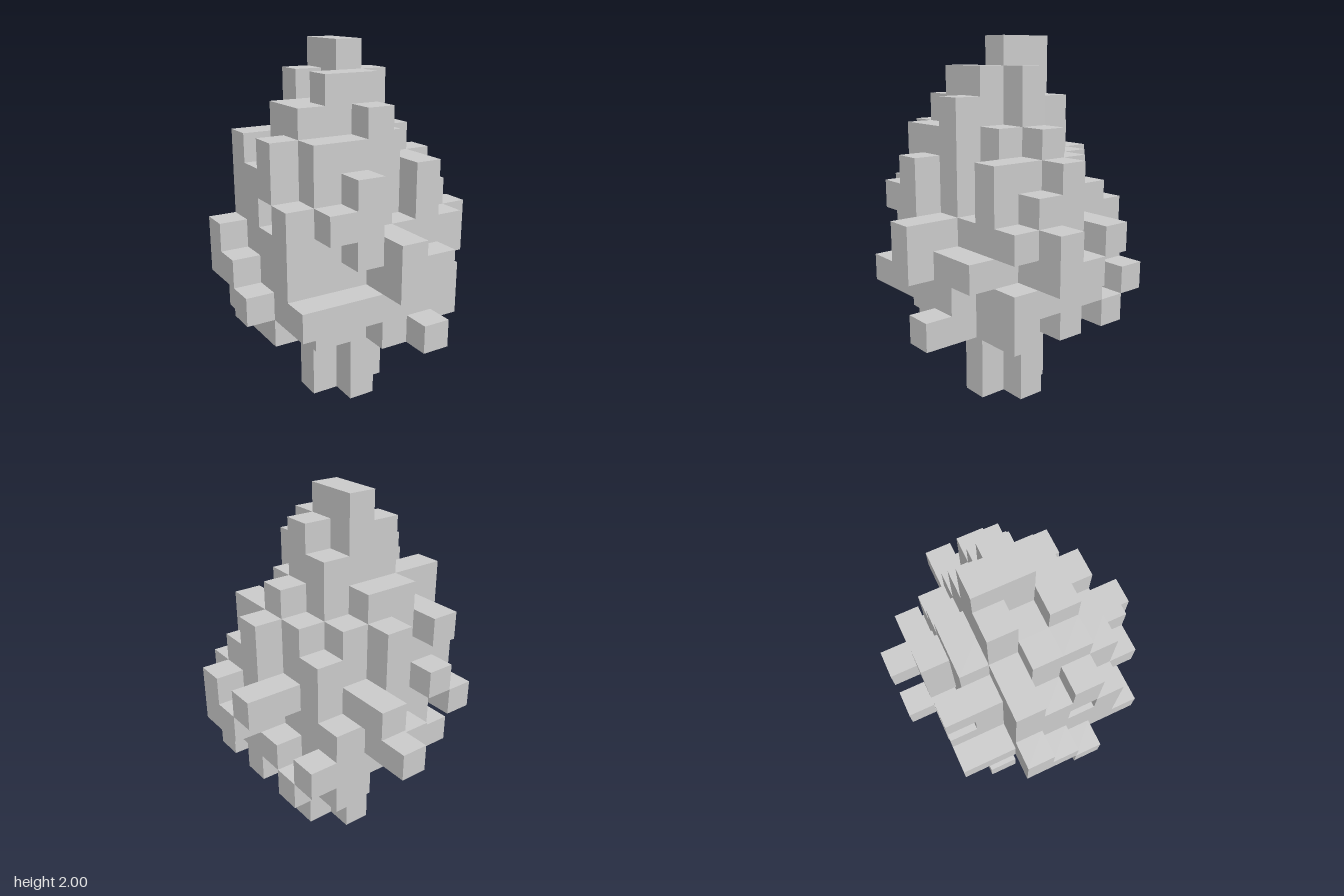
import * as THREE from 'three';

const CELL = 2 / 13; // 13 blocks tall

const key = (x, y, z) => `${x},${y},${z}`;

// Collects blocks; ranges are inclusive, in whole blocks
function blockSet() {
  const cells = new Map();
  const fill = (x0, x1, y0, y1, z0, z1) => {
    for (let x = x0; x <= x1; x++)
      for (let y = y0; y <= y1; y++)
        for (let z = z0; z <= z1; z++) cells.set(key(x, y, z), [x, y, z]);
  };
  const cut = (x, y, z) => cells.delete(key(x, y, z));
  return { cells, fill, cut };
}

// Emits only the exposed faces of a set of blocks
function skin(cells, solid) {
  const pos = [];
  for (const c of cells.values()) {
    for (let d = 0; d < 3; d++) {
      for (const s of [-1, 1]) {
        const n = [...c];
        n[d] += s;
        if (solid(n)) continue;
        const u = (d + 1) % 3, v = (d + 2) % 3;
        const corner = (a, b) => {
          const p = [c[0], c[1] + 0.5, c[2]];
          p[d] += s / 2;
          p[u] += (a * s) / 2;
          p[v] += b / 2;
          return p.map((k) => k * CELL);
        };
        const q = [corner(-1, -1), corner(1, -1), corner(1, 1), corner(-1, 1)];
        for (const i of [0, 1, 2, 0, 2, 3]) pos.push(...q[i]);
      }
    }
  }
  const g = new THREE.BufferGeometry();
  g.setAttribute('position', new THREE.Float32BufferAttribute(pos, 3));
  g.computeVertexNormals();
  return g;
}

function buildTrunk() {
  const t = blockSet();
  t.fill(-1, 1, 0, 2, 0, 0);
  t.fill(0, 0, 0, 2, -1, 1);
  return t;
}

function buildFoliage() {
  const f = blockSet();
  const { fill, cut } = f;
  const one = (x, y, z) => fill(x, x, y, y, z, z);

  // Solid core, narrowing upwards
  fill(-2, 2, 3, 7, -2, 2);
  fill(-2, 2, 8, 8, -1, 1);
  fill(-2, 1, 9, 9, -1, 1);
  fill(-1, 1, 10, 10, -1, 1);
  cut(1, 10, 1);
  cut(1, 7, 2);

  // Tip
  fill(0, 0, 12, 12, -1, 0);
  fill(0, 0, 11, 11, -1, 1);
  one(-1, 11, 1);
  one(-1, 11, -1);
  one(1, 11, 0);

  // Upper branches
  fill(-2, -2, 10, 10, 0, 1);
  fill(0, 0, 8, 10, 2, 2);
  fill(-2, -1, 8, 9, 2, 2);
  fill(-3, -3, 8, 9, 1, 1);
  fill(-3, -3, 7, 9, -1, -1);
  fill(-1, 0, 8, 9, -2, -2);
  one(2, 9, 0);

  // Middle branches, front
  fill(2, 2, 8, 8, 1, 2);
  fill(-1, -1, 6, 8, 3, 3);
  one(-2, 7, 3);
  fill(0, 0, 5, 6, 3, 4);
  fill(1, 2, 5, 5, 3, 3);

  // Middle branches, left side
  fill(3, 3, 7, 8, 0, 0);
  one(3, 7, 1);
  fill(3, 3, 6, 6, -1, 2);
  fill(3, 3, 5, 5, 0, 1);
  fill(4, 4, 5, 6, 1, 1);
  one(4, 6, -1);
  one(4, 5, 0);

  // Middle branches, right side
  fill(-3, -3, 4, 7, 2, 2);
  fill(-3, -3, 7, 8, 0, 0);
  fill(-3, -3, 5, 6, -1, 1);
  fill(-4, -4, 5, 6, -1, -1);
  one(-4, 5, 0);

  // Middle branches, back
  one(1, 8, -2);
  fill(0, 0, 6, 8, -3, -3);
  fill(-2, -2, 8, 8, -3, -2);
  fill(1, 1, 6, 6, -4, -3);
  one(-2, 6, -3);
  fill(-3, -3, 5, 5, -3, -2);
  fill(2, 2, 3, 5, -3, -3);

  // Lower branches, front
  fill(-3, 1, 4, 4, 3, 3);
  fill(0, 1, 3, 3, 3, 3);
  one(1, 3, 4);

  // Lower branches, sides
  fill(3, 3, 3, 4, 2, 2);
  fill(3, 3, 4, 4, -1, 1);
  one(3, 3, 0);
  one(3, 3, -2);
  one(3, 4, -3);
  one(-4, 4, 1);
  fill(-3, -3, 3, 4, 0, 1);
  one(-3, 3, -2);

  // Lower branches, back
  fill(0, 0, 4, 4, -4, -3);
  fill(-1, -1, 3, 4, -3, -3);
  return f;
}

export function createModel() {
  const group = new THREE.Group();
  group.name = 'blockTree';
  const material = new THREE.MeshStandardMaterial({ color: 0xcccccc, flatShading: true });
  const parts = { trunk: buildTrunk().cells, foliage: buildFoliage().cells };
  const solid = (n) => Object.values(parts).some((cells) => cells.has(key(...n)));
  for (const [name, cells] of Object.entries(parts)) {
    const mesh = new THREE.Mesh(skin(cells, solid), material);
    mesh.name = name;
    group.add(mesh);
  }
  return group;
}
